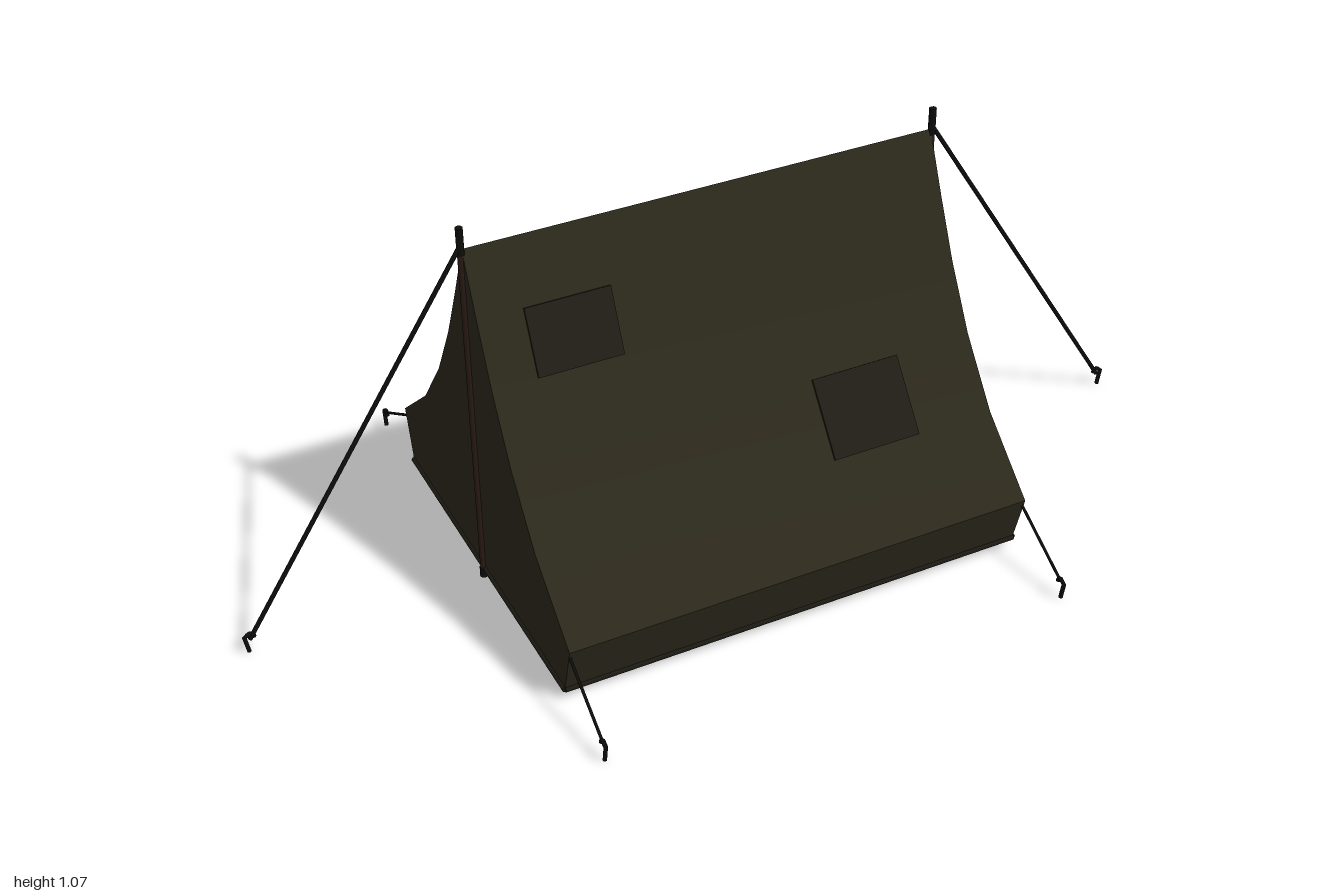
import * as THREE from 'three';

const L = 0.651;                       // half the ridge length
const FLOOR = 0.035;
// half cross-section from ridge to eave, as [z, y]
const SLOPE = [[0, 1.015], [0.07, 0.852], [0.143, 0.692], [0.24, 0.52], [0.37, 0.35], [0.56, 0.185]];
const SKIRT = [[0.56, 0.185], [0.52, FLOOR]];

const mat = (color, side = THREE.FrontSide) =>
  new THREE.MeshStandardMaterial({ color, side, roughness: 1 });
const canvas = mat(0x2b281b, THREE.DoubleSide);
const hemMat = mat(0x1d1a13, THREE.DoubleSide);
const patchMat = mat(0x201d16);
const ropeMat = mat(0x0d0d0b);
const poleMat = mat(0x2a1b14);

function add(parent, name, geometry, material) {
  const mesh = new THREE.Mesh(geometry, material);
  mesh.name = name;
  parent.add(mesh);
  return mesh;
}

// cloth stretched along the ridge direction over a [z, y] line
function cloth(points, side) {
  const line = points.map(([z, y]) => [z * side, y]);
  if (side < 0) line.reverse();
  const pos = [], index = [];
  line.forEach(([z, y], i) => {
    pos.push(-L, y, z, L, y, z);
    if (i) {
      const a = 2 * i - 2;
      index.push(a, a + 2, a + 3, a, a + 3, a + 1);
    }
  });
  const g = new THREE.BufferGeometry();
  g.setAttribute('position', new THREE.Float32BufferAttribute(pos, 3));
  g.setIndex(index);
  g.computeVertexNormals();
  return g;
}

// straight round bar between two points
function bar(parent, name, from, to, radius, material) {
  const a = new THREE.Vector3(...from), b = new THREE.Vector3(...to);
  const m = add(parent, name, new THREE.CylinderGeometry(radius, radius, a.distanceTo(b), 8), material);
  m.position.copy(a).add(b).multiplyScalar(0.5);
  m.quaternion.setFromUnitVectors(new THREE.Vector3(0, 1, 0), b.sub(a).normalize());
}

// hooked ground peg; the hook points outward along dir
function peg(parent, x, z, dx, dz) {
  const at = (out, y) => new THREE.Vector3(x + dx * out, y, z + dz * out);
  const path = new THREE.CurvePath();
  const pts = [at(-0.012, 0.045), at(-0.006, 0.06), at(0.014, 0.05), at(0.006, 0.002)];
  for (let i = 1; i < pts.length; i++) path.add(new THREE.LineCurve3(pts[i - 1], pts[i]));
  add(parent, 'peg', new THREE.TubeGeometry(path, 9, 0.006, 6), ropeMat);
}

function endWallShape() {
  const half = [...SLOPE, SKIRT[1]];
  const outline = [...half.slice(1).map(([z, y]) => [-z, y]).reverse(), ...half];
  return new THREE.Shape(outline.map(([z, y]) => new THREE.Vector2(z, y)));
}

const tri = (w, bottom, top) =>
  [[-w, bottom], [w, bottom], [0, top]].map(([x, y]) => new THREE.Vector2(x, y));

export function createModel() {
  const root = new THREE.Group();
  root.name = 'ridgeTent';
  const tent = new THREE.Group();
  tent.name = 'tent';
  tent.rotation.y = 0.738;             // the ridge runs diagonally
  root.add(tent);

  for (const s of [1, -1]) {
    add(tent, 'roofSlope', cloth(SLOPE, s), canvas);
    add(tent, 'lowerWall', cloth(SKIRT, s), canvas);

    // window patches lying on straight stretches of the slope
    for (const [x, width, i] of [[-0.415, 0.23, 1], [0.305, 0.25, 3]]) {
      const [z0, y0] = SLOPE[i], [z1, y1] = SLOPE[i + 1];
      const patch = add(tent, 'windowFlap',
        new THREE.BoxGeometry(width, Math.hypot(z0 - z1, y0 - y1), 0.014), patchMat);
      patch.position.set(x, (y0 + y1) / 2, s * (z0 + z1) / 2);
      patch.rotation.x = Math.atan2(s * (z0 - z1), y0 - y1);
    }
    bar(tent, 'groundHem', [-L, FLOOR, s * 0.52], [L, FLOOR, s * 0.52], 0.008, hemMat);
  }

  // groundsheet
  const floor = add(tent, 'groundsheet', new THREE.BoxGeometry(2 * L, 0.008, 1.04), hemMat);
  floor.position.y = FLOOR - 0.003;

  // closed rear wall
  const rear = add(tent, 'rearWall', new THREE.ShapeGeometry(endWallShape()), canvas);
  rear.rotation.y = -Math.PI / 2;
  rear.position.x = -L;

  // door wall with a triangular opening and a hem around it
  const doorShape = endWallShape();
  doorShape.holes.push(new THREE.Path(tri(0.29, 0.045, 0.95)));
  const door = add(tent, 'doorWall', new THREE.ShapeGeometry(doorShape), canvas);
  door.rotation.y = Math.PI / 2;
  door.position.x = L;
  const hemShape = new THREE.Shape(tri(0.3, 0.042, 0.97));
  hemShape.holes.push(new THREE.Path(tri(0.235, 0.056, 0.84)));
  const hem = add(tent, 'doorHem', new THREE.ExtrudeGeometry(hemShape, { depth: 0.006, bevelEnabled: false }), hemMat);
  hem.rotation.y = Math.PI / 2;
  hem.position.x = L - 0.003;

  // poles, guy ropes and pegs at both ends
  for (const e of [1, -1]) {
    const px = e * (L + 0.003);
    bar(tent, 'pole', [px, 0.01, 0], [px, 1.02, 0], 0.009, poleMat);
    bar(tent, 'poleTip', [px, 1.0, 0], [px, 1.075, 0], 0.01, ropeMat);
    bar(tent, 'poleFoot', [px, 0.008, 0], [px, 0.035, 0], 0.011, ropeMat);
    bar(tent, 'ridgeRope', [px, 1.025, 0], [e * 1.285, 0.04, 0], 0.006, ropeMat);
    peg(tent, e * 1.285, 0, e, 0);
    bar(tent, 'endHem', [e * L, FLOOR, -0.52], [e * L, FLOOR, 0.52], 0.008, hemMat);
    for (const s of [1, -1]) {
      bar(tent, 'cornerRope', [e * (L - 0.003), 0.165, s * 0.553], [e * L, 0.05, s * 0.745], 0.004, ropeMat);
      peg(tent, e * L, s * 0.745, 0, s);
    }
  }
  return root;
}
